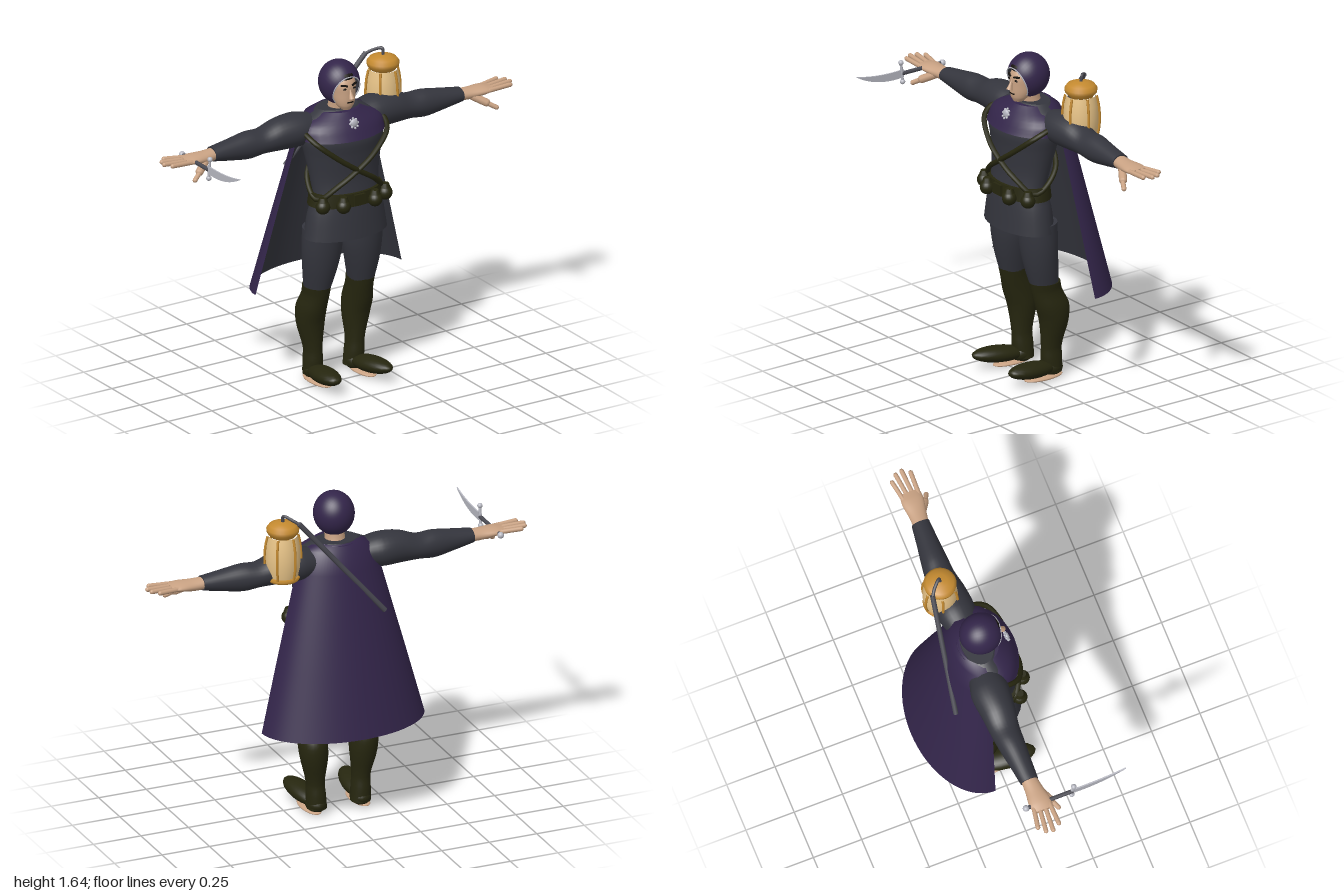
import * as THREE from 'three';

const mat = (name, color) => Object.assign(new THREE.MeshStandardMaterial({ color }), { name });
const M = {
  cloth: mat('charcoal cloth', 0x34353d),
  purple: mat('purple cloth', 0x33254a),
  leather: mat('dark olive leather', 0x26260f),
  skin: mat('skin', 0xc9a283),
  hair: mat('dark hair', 0x17130f),
  cream: mat('cream glass', 0xe8c488),
  gold: mat('gold', 0xc48a30),
  silver: mat('silver', 0xb8b9c2),
  iron: mat('dark iron', 0x4a4a52),
};
const V = (x, y, z) => new THREE.Vector3(x, y, z);

// Skin of elliptical sections [y, centreX, centreZ, radiusX, radiusZ], listed upwards
function loft(sections, { n = 28, sub = 4, a0 = 0, a1 = Math.PI * 2, open = false } = {}) {
  let rows = sections;
  if (sub > 1) {
    const spline = new THREE.CubicInterpolant(sections.map(s => s[0]), sections.flat(), 5);
    rows = [];
    for (let i = 0; i < sections.length - 1; i++)
      for (let k = 0; k < sub; k++)
        rows.push(Array.from(spline.evaluate(THREE.MathUtils.lerp(sections[i][0], sections[i + 1][0], k / sub))));
    rows.push(sections[sections.length - 1]);
  }
  const pos = [], idx = [], cols = open ? n + 1 : n;
  const ring = ([y, cx, cz, rx, rz]) => {
    const start = pos.length / 3;
    for (let j = 0; j < cols; j++) {
      const a = a0 + (a1 - a0) * j / n;
      pos.push(cx + rx * Math.cos(a), y, cz + rz * Math.sin(a));
    }
    return start;
  };
  const join = (p, q) => {
    for (let j = 0; j < n; j++) {
      const k = (j + 1) % cols;
      idx.push(p + j, q + j, p + k, q + j, q + k, p + k);
    }
  };
  const starts = rows.map(ring);
  for (let i = 1; i < starts.length; i++) join(starts[i - 1], starts[i]);
  if (!open) {
    const point = r => [r[0], r[1], r[2], 0, 0], last = rows[rows.length - 1];
    join(ring(point(rows[0])), ring(rows[0]));
    join(ring(last), ring(point(last)));
  }
  const g = new THREE.BufferGeometry();
  g.setAttribute('position', new THREE.Float32BufferAttribute(pos, 3));
  g.setIndex(idx);
  g.computeVertexNormals();
  return g;
}
// The same along x: [x, centreY, centreZ, radiusY, radiusZ]
const loftX = s => loft(s.map(([x, y, z, a, b]) => [x, -y, z, a, b])).rotateZ(-Math.PI / 2);

function swapWinding(g) {
  const a = g.index.array;
  for (let i = 0; i < a.length; i += 3) [a[i], a[i + 1]] = [a[i + 1], a[i]];
  return g;
}
const mirrored = g => swapWinding(g.clone().scale(-1, 1, 1));
function insideOut(g) {
  const c = swapWinding(g.clone()), n = c.attributes.normal.array;
  for (let i = 0; i < n.length; i++) n[i] *= -1;
  return c;
}
const ball = (x, y, z, rx, ry = rx, rz = rx) => new THREE.SphereGeometry(1, 20, 14).scale(rx, ry, rz).translate(x, y, z);
const tube = (pts, r, closed = false) =>
  new THREE.TubeGeometry(new THREE.CatmullRomCurve3(pts, closed), 48, r, 8, closed);
function rod(a, b, r, capsule = false) {
  const d = b.clone().sub(a), len = d.length();
  const g = capsule ? new THREE.CapsuleGeometry(r, len, 4, 10) : new THREE.CylinderGeometry(r, r, len, 10);
  g.applyQuaternion(new THREE.Quaternion().setFromUnitVectors(V(0, 1, 0), d.normalize()));
  return g.translate((a.x + b.x) / 2, (a.y + b.y) / 2, (a.z + b.z) / 2);
}

export function createModel() {
  const model = new THREE.Group();
  model.name = 'cloakedTraveller';
  const add = (name, g, m) => {
    const mesh = new THREE.Mesh(g, m);
    mesh.name = name;
    model.add(mesh);
  };
  const pair = (name, g, m) => { add(name + 'Left', g, m); add(name + 'Right', mirrored(g), m); };

  // Tunic with skirt, collar and brooch
  add('tunic', loft([[.78, 0, .02, .225, .13], [.9, 0, .02, .205, .12], [.99, 0, .025, .18, .105],
    [1.08, 0, .01, .185, .11], [1.2, 0, -.005, .205, .13], [1.3, 0, -.015, .222, .14],
    [1.36, 0, -.04, .2, .11], [1.41, 0, -.055, .11, .075]]), M.cloth);
  add('collar', loft([[1.285, 0, -.012, .228, .152], [1.35, 0, -.03, .212, .132], [1.405, 0, -.05, .11, .1]]), M.purple);
  add('brooch', ball(0, 1.362, .098, .022, .022, .012), M.silver);
  for (let i = 0; i < 8; i++) {
    const a = i * Math.PI / 4;
    add('broochBead', ball(.022 * Math.cos(a), 1.362 + .022 * Math.sin(a), .099 - .01 * Math.sin(a), .006), M.silver);
  }

  // Legs and boots
  pair('trouserLeg', loft([[.48, .125, -.04, .06, .072], [.6, .12, -.02, .085, .085],
    [.7, .115, -.01, .1, .092], [.82, .112, -.005, .103, .095]]), M.cloth);
  pair('boot', loft([[.03, .115, -.09, .05, .05], [.1, .118, -.085, .048, .055], [.16, .12, -.083, .045, .053],
    [.3, .13, -.09, .068, .075], [.38, .132, -.078, .07, .088], [.46, .125, -.05, .063, .08],
    [.505, .125, -.04, .066, .08]]), M.leather);
  pair('bootFoot', ball(0, 0, 0, .06, .04, .145).rotateX(-.1).rotateY(.12).translate(.135, .066, .045), M.leather);
  pair('bootHeel', ball(.117, .05, -.082, .05, .045, .063), M.leather);
  pair('sole', ball(.128, .013, -.03, .045, .013, .11), M.skin);

  // Sleeves, hands and fingers
  pair('sleeve', loftX([[.14, 1.32, -.07, .07, .08], [.22, 1.322, -.075, .083, .095], [.33, 1.318, -.075, .078, .085],
    [.42, 1.303, -.078, .062, .073], [.5, 1.3, -.075, .068, .066], [.6, 1.3, -.07, .054, .055],
    [.71, 1.302, -.065, .035, .045]]), M.cloth);
  pair('hand', loftX([[.69, 1.302, -.065, .03, .038], [.76, 1.3, -.06, .028, .045],
    [.83, 1.305, -.058, .021, .055], [.875, 1.306, -.056, .012, .05]]), M.skin);
  [[-.097, .95, -.116], [-.07, .98, -.086], [-.043, .988, -.052], [-.017, .965, -.014]].forEach(([z0, x, z1], i) =>
    pair('finger' + (i + 1), rod(V(.85, 1.306, z0), V(x, 1.312, z1), .0115, true), M.skin));
  pair('thumbBase', rod(V(.765, 1.288, -.035), V(.82, 1.256, 0), .02, true), M.skin);
  pair('thumb', rod(V(.815, 1.258, 0), V(.862, 1.23, .025), .012, true), M.skin);

  // Neck, head and face
  add('neck', loft([[1.36, 0, -.055, .06, .06], [1.41, 0, -.045, .05, .05], [1.47, 0, -.035, .05, .05]]), M.skin);
  add('head', loft([[1.415, 0, .025, .025, .025], [1.44, 0, .015, .045, .047], [1.5, 0, -.01, .061, .075],
    [1.55, 0, -.02, .066, .08], [1.6, 0, -.03, .045, .055]]), M.skin);
  add('hair', ball(0, 1.585, -.02, .068, .034, .079), M.hair);
  const nose = new THREE.ConeGeometry(.015, .055, 10).scale(1, 1, 1.1).rotateX(-.3);
  add('nose', nose.translate(0, 1.507, .07), M.skin);
  add('mouth', new THREE.BoxGeometry(.034, .006, .008).translate(0, 1.458, .062), M.hair);
  pair('eye', ball(.026, 1.528, .058, .012, .005, .004), M.hair);
  pair('eyebrow', new THREE.BoxGeometry(.034, .008, .008).rotateZ(.15).rotateY(.35).translate(.028, 1.546, .056), M.hair);

  // Hood with lining and trim, opening forwards and a little down
  const tilt = .36, cut = .84;
  const place = (g, s = 1) => g.scale(.1 * s, .11 * s, .105 * s).translate(0, 1.535, -.035);
  const shell = () => new THREE.SphereGeometry(1, 36, 20, 0, Math.PI * 2, cut, Math.PI - cut).rotateX(Math.PI / 2 + tilt);
  add('hood', place(shell()), M.purple);
  add('hoodLining', insideOut(place(shell(), .97)), M.cloth);
  add('hoodTrim', place(new THREE.TorusGeometry(Math.sin(cut), .03, 6, 40)
    .translate(0, 0, Math.cos(cut)).rotateX(tilt)), M.silver);

  // Cape, open at the front
  const cape = inset => loft([[.485, 0, -.125, .42, .27], [.8, 0, -.103, .34, .22], [1.28, 0, -.07, .215, .145],
    [1.385, 0, -.06, .17, .112], [1.41, 0, -.06, .1, .08]].map(([y, x, z, a, b]) => [y, x, z, a - inset, b - inset]),
  { n: 40, sub: 1, a0: Math.PI, a1: Math.PI * 2, open: true });
  add('cape', cape(0), M.purple);
  add('capeLining', insideOut(cape(.004)), M.cloth);

  // Belt, round pouches and crossed straps
  add('belt', loft([[.95, 0, .022, .205, .124], [1.015, 0, .022, .195, .12]], { sub: 1 }), M.leather);
  add('buckle', new THREE.BoxGeometry(.06, .055, .02).translate(0, .983, .145), M.leather);
  for (const [x, z] of [[.09, .145], [.178, .098]]) {
    pair('pouch', ball(x, .965, z, .036), M.leather);
    pair('pouchFlap', new THREE.CylinderGeometry(.018, .026, .022, 12).translate(x, 1.003, z), M.leather);
  }
  pair('chestStrap', tube([V(.205, 1.29, .075), V(.1, 1.2, .127), V(0, 1.13, .135), V(-.1, 1.065, .122),
    V(-.185, .99, .06), V(-.15, 1.08, -.085), V(0, 1.2, -.145), V(.16, 1.31, -.13), V(.22, 1.33, -.02)], .013, true), M.leather);

  // Lantern
  const lathe = pts => new THREE.LatheGeometry(pts.map(p => new THREE.Vector2(...p)), 32).translate(.308, 0, -.123);
  const glass = [[.074, 1.295], [.083, 1.34], [.086, 1.4], [.081, 1.46], [.071, 1.507]];
  add('lanternGlass', lathe(glass), M.cream);
  add('lanternCap', lathe([[.06, 1.503], [.078, 1.525], [.08, 1.543], [.066, 1.562], [.035, 1.574], [0, 1.577]]), M.gold);
  add('lanternCapUnderside', lathe([[0, 1.503], [.074, 1.503]]), M.gold);
  add('lanternBase', lathe([[0, 1.262], [.05, 1.266], [.078, 1.277], [.084, 1.288], [.078, 1.3], [0, 1.303]]), M.gold);
  for (let i = 0; i < 6; i++) {
    const a = i * Math.PI / 3 + .2;
    add('lanternBar', tube(glass.map(([r, y]) =>
      V(.308 + (r + .004) * Math.cos(a), y, -.123 + (r + .004) * Math.sin(a))), .0065), M.gold);
  }

  // Staff carrying the lantern
  add('staff', rod(V(-.18, 1.07, -.235), V(.25, 1.578, -.185), .0125), M.iron);
  add('staffHook', tube([V(.245, 1.572, -.186), V(.275, 1.592, -.165), V(.308, 1.606, -.13), V(.308, 1.575, -.123)], .008), M.iron);

  // Curved dagger in the right hand
  const blade = new THREE.Shape();
  blade.moveTo(.1, 1.325);
  blade.quadraticCurveTo(.25, 1.315, .385, 1.35);
  blade.quadraticCurveTo(.26, 1.27, .1, 1.285);
  add('daggerBlade', new THREE.ExtrudeGeometry(blade, { depth: .007, bevelEnabled: false, curveSegments: 16 })
    .rotateY(-Math.PI / 2).translate(-.8315, 0, 0), M.silver);
  add('daggerGrip', rod(V(-.835, 1.305, -.13), V(-.835, 1.305, .11), .01), M.iron);
  add('daggerPommel', ball(-.835, 1.305, -.132, .016), M.silver);
  add('daggerGuard', rod(V(-.835, 1.262, .105), V(-.835, 1.36, .115), .007), M.silver);
  add('daggerGuardKnobTop', ball(-.835, 1.362, .115, .013), M.silver);
  add('daggerGuardKnobBottom', ball(-.835, 1.262, .105, .013), M.silver);

  return model;
}
